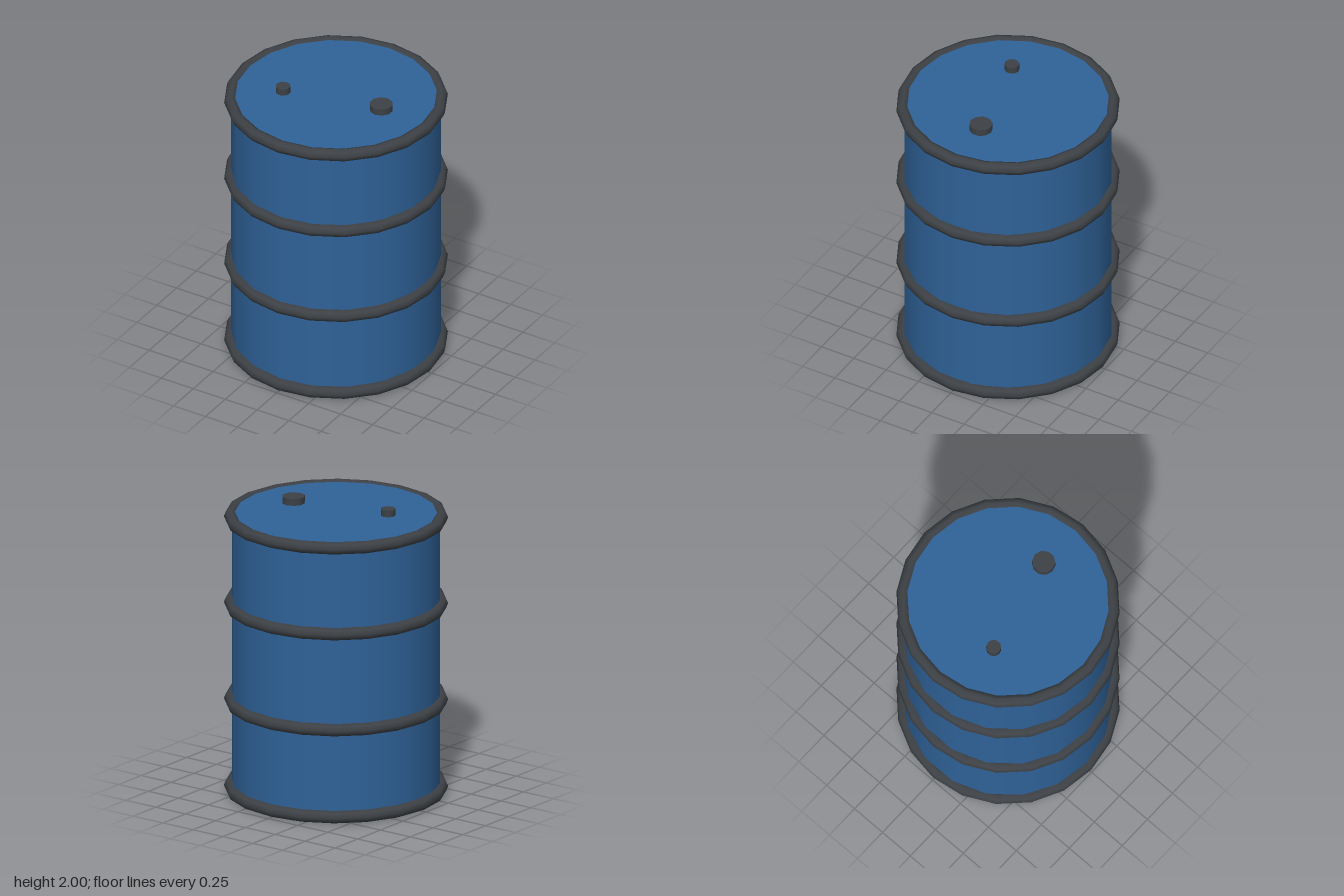
import * as THREE from 'three';

export function createModel() {
  const model = new THREE.Group();
  model.name = 'drum';

  const blue = new THREE.MeshStandardMaterial({ color: 0x2f6298 });
  blue.name = 'blue paint';
  const dark = new THREE.MeshStandardMaterial({ color: 0x3d4145 });
  dark.name = 'dark metal';

  const add = (name, geometry, material, x, y, z) => {
    const mesh = new THREE.Mesh(geometry, material);
    mesh.name = name;
    mesh.position.set(x, y, z);
    model.add(mesh);
  };

  // Barrel body, its lid and base slightly recessed inside the end rims
  const bottom = 0.013, lid = 1.953;
  add('body', new THREE.CylinderGeometry(0.7, 0.7, lid - bottom, 18), blue, 0, (lid + bottom) / 2, 0);

  // End rims and the two rolling hoops
  const ring = new THREE.TorusGeometry(0.704, 0.0435, 8, 20).rotateX(Math.PI / 2);
  const rings = { bottomRim: 0.0435, lowerHoop: 0.651, upperHoop: 1.322, topRim: 1.922 };
  for (const [name, y] of Object.entries(rings)) add(name, ring, dark, 0, y, 0);

  // Filler caps on the lid
  const addCap = (name, radius, x, z) => {
    const height = 2 - lid + 0.02;
    add(name, new THREE.CylinderGeometry(radius, radius, height, 10), dark, x, 2 - height / 2, z);
  };
  addCap('largeCap', 0.078, 0.355, 0);
  addCap('smallCap', 0.05, -0.317, 0.157);

  return model;
}
